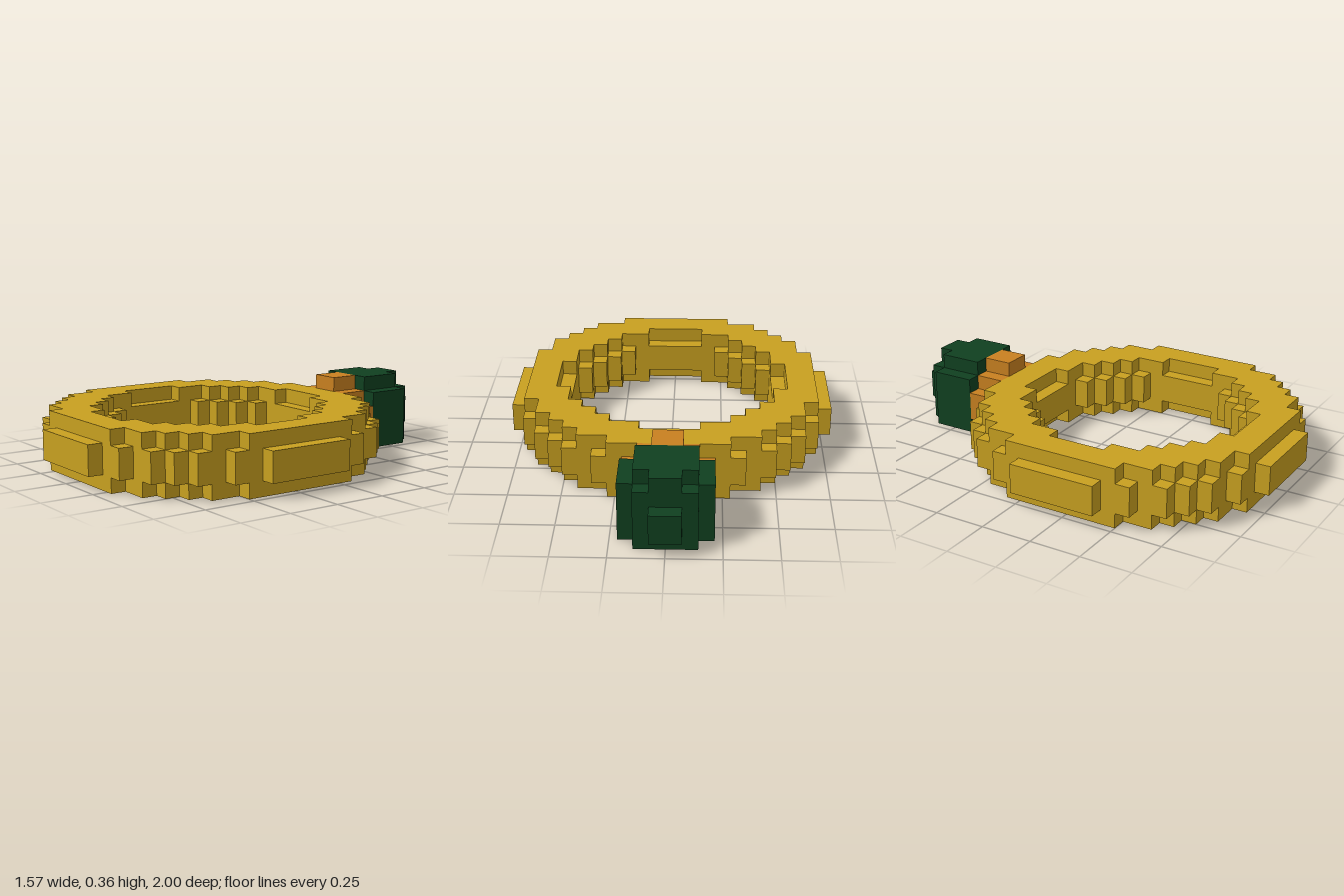
import * as THREE from 'three';

const U = 1 / 14; // size of one block

// Half-width in blocks of each row of a blocky disc, from row -n to row n - 1
function discRows(radius) {
  const rows = [];
  const n = Math.ceil(radius);
  for (let j = -n; j < n; j++) {
    let w = 0;
    while ((w + 0.5) ** 2 + (j + 0.5) ** 2 <= radius * radius) w++;
    rows.push(w);
  }
  return rows;
}

// Stepped outline, mirrored about x = 0; empty rows are skipped
function outline(rows, start) {
  const right = [];
  rows.forEach((w, k) => {
    if (w === 0) return;
    right.push([w, start + k], [w, start + k + 1]);
  });
  const left = right.map(([x, y]) => [-x, y]).reverse();
  return [...right, ...left].map(([x, y]) => new THREE.Vector2(x * U, y * U));
}

function extrude(shape, blocks) {
  return new THREE.ExtrudeGeometry(shape, { depth: blocks * U, bevelEnabled: false });
}

export function createModel() {
  const gold = new THREE.MeshStandardMaterial({ color: 0xc8a020 });
  gold.name = 'gold';
  const orange = new THREE.MeshStandardMaterial({ color: 0xc88020 });
  orange.name = 'orange';
  const green = new THREE.MeshStandardMaterial({ color: 0x104020 });
  green.name = 'darkGreen';

  const model = new THREE.Group();
  model.name = 'ringWithStone';

  const add = (parent, geometry, material, name) => {
    const mesh = new THREE.Mesh(geometry, material);
    mesh.name = name;
    parent.add(mesh);
  };

  // Band: three flat layers, the middle one reaching further in and out
  const band = new THREE.Group();
  band.name = 'band';
  const layer = (name, outer, inner, y0, y1) => {
    const rows = discRows(outer);
    const start = 3 - rows.length / 2;
    // the setting takes the place of the rearmost row
    if (start < -7) rows[0] = 0;
    const shape = new THREE.Shape(outline(rows, start));
    const hole = discRows(inner);
    shape.holes.push(new THREE.Path(outline(hole, 3 - hole.length / 2)));
    const geometry = extrude(shape, y1 - y0);
    geometry.rotateX(Math.PI / 2);
    geometry.translate(0, y1 * U, 0);
    add(band, geometry, gold, name);
  };
  layer('bandBottom', 10.22, 7.68, 0, 1);
  layer('bandMiddle', 10.85, 7.04, 1, 3);
  layer('bandTop', 10.22, 7.68, 3, 4);
  model.add(band);

  // Setting and stone: stepped slabs stacked towards the back
  const slab = (name, material, rows, y0, z0, z1) => {
    const geometry = extrude(new THREE.Shape(outline(rows, y0)), z1 - z0);
    geometry.translate(0, 0, z0 * U);
    add(model, geometry, material, name);
  };
  slab('setting', orange, [2, 3, 3, 2, 1], 0, -9, -7);
  slab('stoneBody', green, [3, 3, 3, 3, 2], 0, -12, -9);
  slab('stoneShoulder', green, [2, 2, 2, 2, 1], 0, -13, -12);
  slab('stoneTip', green, [1, 1], 1, -14, -13);

  return model;
}
